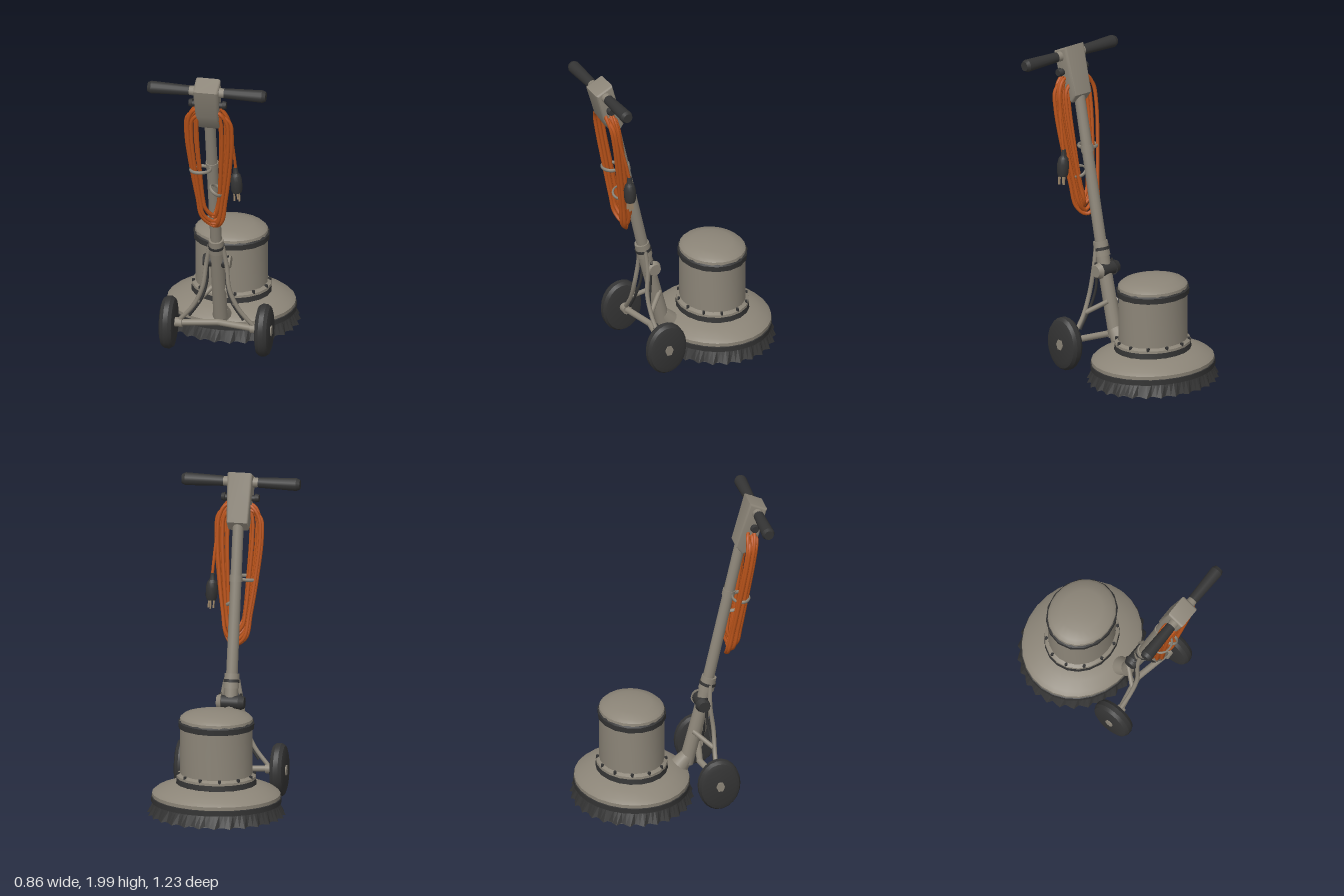
import * as THREE from 'three';
import { toCreasedNormals } from 'three/addons/utils/BufferGeometryUtils.js';

const mat = (name, color, side = THREE.FrontSide) => {
  const m = new THREE.MeshStandardMaterial({ color, side });
  m.name = name;
  return m;
};
const V = (x, y, z) => new THREE.Vector3(x, y, z);

export function createModel() {
  const grey = mat('warm grey paint', 0x8c8578, THREE.DoubleSide);
  const dark = mat('black rubber', 0x343434, THREE.DoubleSide);
  const orange = mat('orange cord', 0xb85219);
  const metal = mat('plug metal', 0x9a8468);
  const root = new THREE.Group();

  const add = (name, geo, material, parent = root) => {
    const m = new THREE.Mesh(geo, material);
    m.name = name;
    parent.add(m);
    return m;
  };
  const group = (name) => {
    const g = new THREE.Group();
    g.name = name;
    root.add(g);
    return g;
  };
  const lathe = (pts, seg) => toCreasedNormals(
    new THREE.LatheGeometry(pts.map(p => new THREE.Vector2(p[0], p[1])), seg), 0.6);
  // Straight rod between two points
  const rod = (name, a, b, ra, rb, material, parent = root, seg = 14) => {
    const m = add(name, new THREE.CylinderGeometry(rb, ra, a.distanceTo(b), seg), material, parent);
    m.position.copy(a).add(b).multiplyScalar(0.5);
    m.quaternion.setFromUnitVectors(V(0, 1, 0), b.clone().sub(a).normalize());
    return m;
  };
  const tube = (name, pts, r, material, parent = root, closed = false, n = 40) =>
    add(name, new THREE.TubeGeometry(new THREE.CatmullRomCurve3(pts, closed), n, r, 7, closed), material, parent);

  // Scrubbing base and motor, slightly oval
  const base = group('scrubberBase');
  base.position.z = -0.235;
  base.scale.z = 0.885;
  add('deck', lathe([[0.385, 0.1], [0.4, 0.115], [0.4, 0.15], [0.375, 0.17], [0.31, 0.195], [0.25, 0.215], [0.2, 0.22]], 28), grey, base);
  add('bumper', lathe([[0.38, 0.09], [0.406, 0.094], [0.406, 0.126], [0.39, 0.132]], 28), dark, base);
  add('motorSeal', lathe([[0.24, 0.205], [0.252, 0.215], [0.247, 0.25], [0.2, 0.252]], 20), dark, base);
  add('motorFlange', lathe([[0.2, 0.248], [0.25, 0.25], [0.248, 0.265], [0.226, 0.278]], 20), grey, base);
  add('motorBody', lathe([[0.226, 0.265], [0.226, 0.575]], 24), grey, base);
  add('motorBand', lathe([[0.222, 0.565], [0.238, 0.57], [0.24, 0.605], [0.225, 0.618]], 16), dark, base);
  add('motorLid', lathe([[0.23, 0.605], [0.226, 0.63], [0.205, 0.648], [0.14, 0.665], [0.07, 0.674], [0.0, 0.676]], 24), grey, base);
  for (let i = 0; i < 12; i++) {
    const a = (i + 0.5) / 12 * Math.PI * 2;
    const b = add('flangeBolt', new THREE.CylinderGeometry(0.011, 0.011, 0.02, 6), dark, base);
    b.position.set(Math.sin(a) * 0.237, 0.272, Math.cos(a) * 0.237);
  }

  // Flared brush skirt with a ragged lower edge
  const skirt = new THREE.CylinderGeometry(0.385, 0.425, 0.085, 84, 1, true);
  const p = skirt.attributes.position;
  for (let i = 0; i < p.count; i++) {
    if (p.getY(i) > 0) continue;
    const k = [1.015, 0.965, 0.99][i % 3];
    p.setXYZ(i, p.getX(i) * k, p.getY(i) + (1.015 - k) * 0.25, p.getZ(i) * k);
  }
  const bristles = add('brushBristles', toCreasedNormals(skirt, 0.2), dark, base);
  bristles.position.y = 0.057;
  add('brushUnderside', new THREE.CylinderGeometry(0.4, 0.41, 0.02, 40), dark, base).position.y = 0.03;

  // Leaning pole with its lower sleeve and collars
  const pole = group('handlePole');
  rod('lowerSleeve', V(0, 0.19, 0.112), V(0, 0.74, 0.252), 0.045, 0.042, grey, pole);
  rod('sleeveCollar', V(0, 0.69, 0.239), V(0, 0.78, 0.26), 0.05, 0.046, grey, pole);
  rod('sleeveBand', V(0, 0.725, 0.247), V(0, 0.743, 0.252), 0.052, 0.052, dark, pole);
  rod('upperTube', V(0, 0.72, 0.243), V(0, 1.75, 0.471), 0.036, 0.034, grey, pole);
  rod('poleCollar', V(0, 1.335, 0.379), V(0, 1.375, 0.388), 0.04, 0.04, grey, pole);
  rod('poleFoot', V(0, 0.18, 0.07), V(0, 0.24, 0.12), 0.06, 0.045, grey, pole);

  // Tilt pivot
  rod('pivotBarrel', V(-0.06, 0.61, 0.207), V(0.06, 0.61, 0.207), 0.042, 0.042, dark);
  rod('pivotCap', V(0.055, 0.61, 0.207), V(0.085, 0.61, 0.207), 0.052, 0.038, grey);
  rod('pivotKnob', V(-0.055, 0.61, 0.207), V(-0.09, 0.61, 0.207), 0.05, 0.036, dark);

  // Undercarriage and wheels, mirrored
  for (const s of [-1, 1]) {
    const side = group(s > 0 ? 'leftWheelAssembly' : 'rightWheelAssembly');
    tube('curvedStrut', [V(s * 0.04, 0.74, 0.255), V(s * 0.065, 0.6, 0.25), V(s * 0.085, 0.45, 0.265),
      V(s * 0.14, 0.32, 0.26), V(s * 0.235, 0.2, 0.248)], 0.014, grey, side);
    tube('linkStrut', [V(s * 0.065, 0.66, 0.225), V(s * 0.06, 0.5, 0.23), V(s * 0.09, 0.37, 0.25),
      V(s * 0.17, 0.24, 0.252)], 0.009, dark, side);
    rod('sideBrace', V(s * 0.03, 0.42, 0.15), V(s * 0.12, 0.34, 0.255), 0.015, 0.015, grey, side);
    rod('axle', V(0, 0.185, 0.2), V(s * 0.24, 0.185, 0.248), 0.02, 0.02, grey, side);
    rod('axleCollar', V(s * 0.215, 0.185, 0.246), V(s * 0.27, 0.185, 0.246), 0.03, 0.03, grey, side);
    const wheel = new THREE.Group();
    wheel.name = 'wheel';
    wheel.position.set(s * 0.3, 0.18, 0.246);
    wheel.scale.z = 0.785;
    side.add(wheel);
    const tyre = add('tyre', lathe([[0, -0.038], [0.125, -0.043], [0.155, -0.036], [0.17, -0.015],
      [0.17, 0.015], [0.155, 0.036], [0.125, 0.046], [0, 0.04]], 22), dark, wheel);
    tyre.rotation.z = -s * Math.PI / 2;
    const hub = add('hubCap', new THREE.CylinderGeometry(0.034, 0.036, 0.014, 6), grey, wheel);
    hub.rotation.z = Math.PI / 2;
    hub.position.x = s * 0.042;
  }

  // Control head: side profile extruded across x, narrower towards the bottom
  const prof = new THREE.Shape([[0.51, 1.985], [0.595, 1.943], [0.545, 1.765], [0.485, 1.67], [0.462, 1.662],
    [0.432, 1.705]].map(q => new THREE.Vector2(-q[0], q[1])));
  const headGeo = new THREE.ExtrudeGeometry(prof, {
    depth: 0.126, bevelEnabled: true, bevelSize: 0.014, bevelThickness: 0.016, bevelSegments: 3,
  });
  headGeo.translate(0, 0, -0.063);
  headGeo.rotateY(Math.PI / 2);
  const h = headGeo.attributes.position;
  for (let i = 0; i < h.count; i++) h.setX(i, h.getX(i) * (0.85 + 0.15 * Math.min(1, (h.getY(i) - 1.65) / 0.25)));
  add('controlHead', toCreasedNormals(headGeo, 0.7), grey);

  // Handlebar grips and cord hooks
  for (const s of [-1, 1]) {
    const at = (x, y, z) => V(s * x, y, z);
    rod('gripCollar', at(0.07, 1.932, 0.548), at(0.118, 1.932, 0.548), 0.033, 0.028, grey);
    rod('grip', at(0.11, 1.932, 0.548), at(0.35, 1.932, 0.548), 0.032, 0.04, dark);
    rod('gripEnd', at(0.35, 1.932, 0.548), at(0.372, 1.932, 0.548), 0.04, 0.03, dark);
    rod('cordHook', at(0.05, 1.835, 0.525), at(0.1, 1.835, 0.525), 0.02, 0.02, dark);
    rod('hookKnob', at(0.095, 1.838, 0.525), at(0.118, 1.838, 0.525), 0.028, 0.022, dark);
  }

  // Coiled cord: nested loops hanging from the hooks, leaning with the pole
  const cord = group('powerCord');
  const cz = (y) => 0.515 - (1.78 - y) * 0.157;
  for (let i = 0; i < 7; i++) {
    const w = 0.138 - (i % 5) * 0.019, bottom = 0.93 + (i % 5) * 0.022, top = 1.8 - (i % 3) * 0.015;
    const dz = ((i * 3) % 7 - 3) * 0.0105;
    const pt = (x, y, k = 1) => V(x, y, cz(y) + dz * k);
    const half = [[0.6, top - 0.01], [0.93, 1.72], [1, 1.6], [0.83, 1.35], [0.6, 1.13], [0.4, bottom + 0.05]];
    const left = half.map(([k, y]) => pt(-k * w - 0.002 * i, y));
    const right = half.map(([k, y]) => pt(k * w + 0.004 * i - 0.008, y, -1)).reverse();
    tube('cordLoop', [...left, pt(0.015, bottom, 0.3), ...right, pt(0, top, 0)], 0.0115, orange, cord, true, 90);
  }
  tube('looseEnd', [V(0.08, 1.81, 0.52), V(0.12, 1.75, 0.515), V(0.14, 1.6, 0.48), V(0.152, 1.45, 0.445),
    V(0.158, 1.35, 0.425)], 0.0095, orange, cord);

  // Cord clips
  const clip = (name, x, y, w, tilt) => {
    const g = new THREE.TorusGeometry(1, 0.13, 6, 20);
    g.rotateX(Math.PI / 2);
    g.scale(w, 0.09, 0.052);
    const m = add(name, g, grey, cord);
    m.position.set(x, y, cz(y));
    m.rotation.z = tilt;
  };
  clip('upperClip', -0.06, 1.345, 0.064, 0.06);
  clip('lowerClip', 0.035, 1.2, 0.046, -0.6);

  // Plug
  const plug = group('plug');
  plug.position.set(0.16, 1.28, 0.425);
  plug.rotation.z = 0.06;
  add('plugBody', lathe([[0, -0.08], [0.03, -0.08], [0.036, -0.06], [0.038, 0], [0.03, 0.035], [0.018, 0.05],
    [0.014, 0.09], [0, 0.092]], 12), dark, plug);
  for (const [x, z] of [[-0.016, 0.01], [0.016, 0.01], [0, -0.014]])
    add('prong', new THREE.BoxGeometry(0.009, 0.06, 0.014), metal, plug).position.set(x, -0.105, z);

  return root;
}
